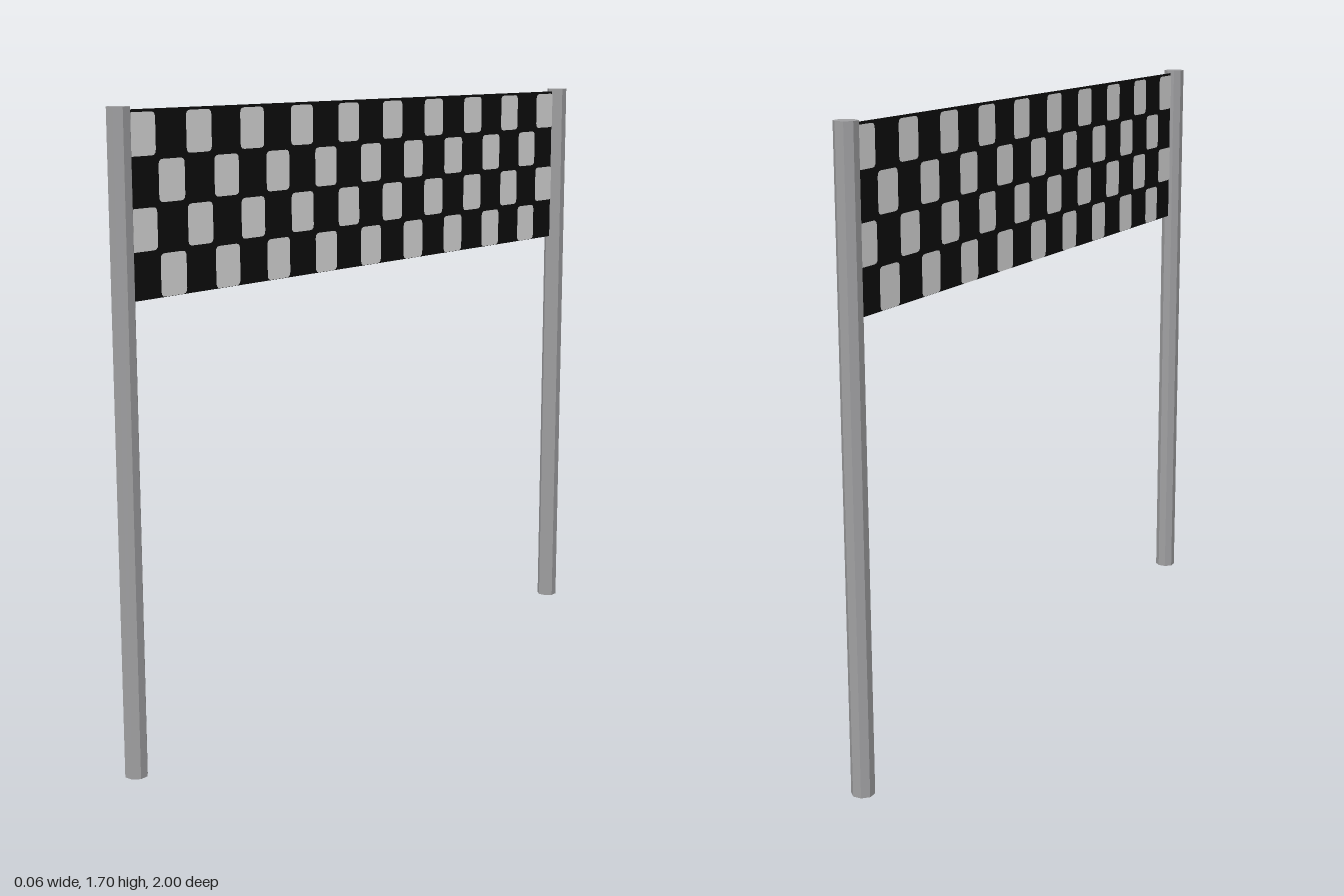
import * as THREE from 'three';

const steel = new THREE.MeshStandardMaterial({ name: 'post grey', color: 0xa0a0a2 });
steel.flatShading = true;
const black = new THREE.MeshStandardMaterial({ name: 'banner black', color: 0x0d0d0d });
black.side = THREE.DoubleSide;
const white = new THREE.MeshStandardMaterial({ name: 'banner white', color: 0xe2e2e2 });

// Rectangle with softly rounded corners, as a shape
function softRect(x0, y0, x1, y1, r) {
  const s = new THREE.Shape();
  s.moveTo(x0 + r, y0);
  s.lineTo(x1 - r, y0);
  s.quadraticCurveTo(x1, y0, x1, y0 + r);
  s.lineTo(x1, y1 - r);
  s.quadraticCurveTo(x1, y1, x1 - r, y1);
  s.lineTo(x0 + r, y1);
  s.quadraticCurveTo(x0, y1, x0, y1 - r);
  s.lineTo(x0, y0 + r);
  s.quadraticCurveTo(x0, y0, x0 + r, y0);
  return s;
}

export function createModel() {
  const group = new THREE.Group();
  group.name = 'finishLine';

  // Two octagonal posts
  const height = 1.7, half = 0.0285;
  const postGeometry = new THREE.CylinderGeometry(half / Math.cos(Math.PI / 8), half / Math.cos(Math.PI / 8), height, 8);
  postGeometry.rotateY(Math.PI / 8);
  for (const side of [1, -1]) {
    const post = new THREE.Mesh(postGeometry, steel);
    post.name = side > 0 ? 'frontPost' : 'backPost';
    post.position.set(0, height / 2, side * (1 - half));
    group.add(post);
  }

  // Black cloth stretched between the posts
  const bottom = 1.225, top = 1.692, reach = 0.946;
  const cloth = new THREE.Mesh(new THREE.PlaneGeometry(2 * reach, top - bottom), black);
  cloth.name = 'bannerCloth';
  cloth.rotation.y = Math.PI / 2;
  cloth.position.y = (top + bottom) / 2;
  group.add(cloth);

  // White checks, 19 columns by 4 rows, on both faces of the cloth
  const cols = 19, rows = 4, w = (2 * reach) / cols, h = 0.1165, gap = 0.004;
  const checks = [];
  for (let row = 0; row < rows; row++) {
    for (let col = 0; col < cols; col++) {
      if ((row + col) % 2 === 0) continue;
      const x0 = -reach + col * w + (col === 0 ? 0 : gap);
      const x1 = -reach + (col + 1) * w - (col === cols - 1 ? 0 : gap);
      const y0 = bottom + row * h + (row === 0 ? 0.001 : gap);
      const y1 = bottom + (row + 1) * h - gap - 0.002;
      checks.push(softRect(x0, y0, x1, y1, 0.014));
    }
  }
  const checkGeometry = new THREE.ShapeGeometry(checks, 3);
  for (const side of [1, -1]) {
    const face = new THREE.Mesh(checkGeometry, white);
    face.name = side > 0 ? 'leftChecks' : 'rightChecks';
    face.rotation.y = side * Math.PI / 2;
    face.position.x = side * 0.002;
    group.add(face);
  }
  return group;
}
